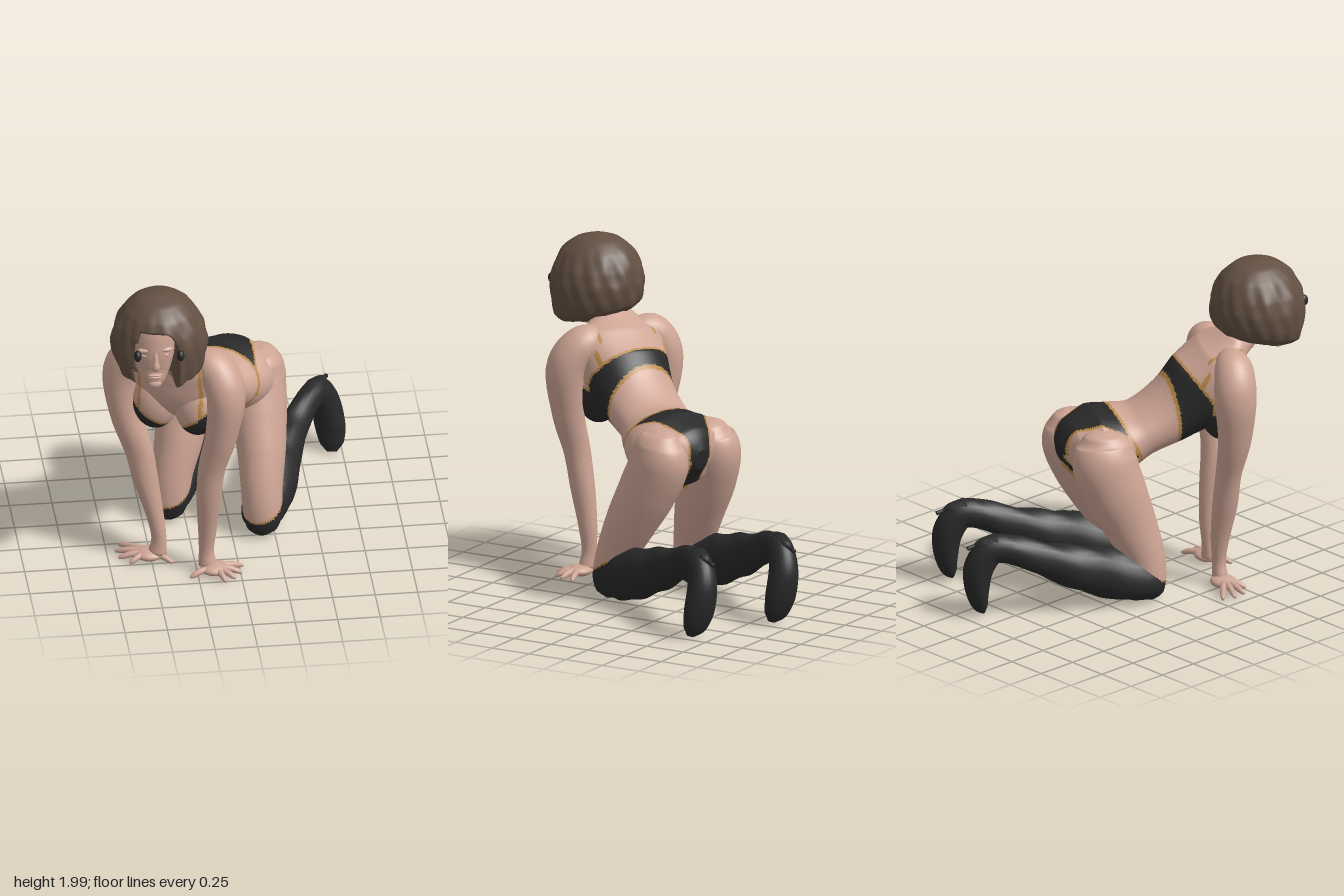
import * as THREE from 'three';

const V = (x, y, z) => new THREE.Vector3(x, y, z);
const SIDE = V(0.906, 0, 0.423);   // the body's sideways direction
const FWD = V(-0.423, 0, 0.906);   // the body's forward direction
const ORIGIN = V(0, 0, -0.1);

const mat = (name, color) => {
  const m = new THREE.MeshStandardMaterial({ color });
  m.name = name;
  return m;
};

// Smooth skin through oval sections [x, y, z, halfWidth, halfDepth]
function loft(sections, rings, sides, side = SIDE) {
  const path = new THREE.CatmullRomCurve3(sections.map(s => V(s[0], s[1], s[2])));
  const size = new THREE.CatmullRomCurve3(sections.map(s => V(s[3], s[4], 0)));
  const pos = [], idx = [];
  for (let i = -1; i <= rings + 1; i++) {
    const t = Math.min(1, Math.max(0, i / rings));
    const k = i < 0 || i > rings ? 0 : 1; // closed ends
    const c = path.getPoint(t), tan = path.getTangent(t), r = size.getPoint(t);
    const u = side.clone().addScaledVector(tan, -side.dot(tan)).normalize();
    const v = tan.clone().cross(u);
    for (let j = 0; j < sides; j++) {
      const a = j / sides * Math.PI * 2;
      const p = c.clone().addScaledVector(u, Math.cos(a) * r.x * k).addScaledVector(v, Math.sin(a) * r.y * k);
      pos.push(p.x, p.y, p.z);
    }
  }
  for (let i = 0; i < rings + 2; i++) for (let j = 0; j < sides; j++) {
    const a = i * sides + j, b = i * sides + (j + 1) % sides;
    idx.push(a, b, a + sides, b, b + sides, a + sides);
  }
  const g = new THREE.BufferGeometry();
  g.setAttribute('position', new THREE.Float32BufferAttribute(pos, 3));
  g.setIndex(idx);
  g.computeVertexNormals();
  return g;
}

// Sorts faces into material groups by a rule on their centres
function paint(g, rule) {
  const p = g.attributes.position, index = g.index.array, sets = [[], [], []];
  const a = V(), b = V();
  for (let i = 0; i < index.length; i += 3) {
    a.set(0, 0, 0);
    for (let k = 0; k < 3; k++) a.add(b.fromBufferAttribute(p, index[i + k]));
    sets[rule(a.divideScalar(3))].push(index[i], index[i + 1], index[i + 2]);
  }
  g.setIndex(sets.flat());
  let start = 0;
  sets.forEach((s, m) => { if (s.length) g.addGroup(start, s.length, m); start += s.length; });
  return g;
}

// Clothing rules: 0 skin, 1 black cloth, 2 trim
function briefs(p) {
  const q = p.clone().sub(ORIGIN), f = q.dot(FWD), l = Math.abs(q.dot(SIDE) + 0.01);
  const waist = f + 0.45 * (p.y - 1.14) - 0.08;
  if (p.y < 0.66 || waist > 0.01) return 0;
  if (waist > -0.01) return 2;
  const w = p.y > 0.9 ? 0.07 + Math.max(0, f + 0.23) * 0.47 : 0.06 + 0.35 * Math.max(0, f);
  return l < w ? 1 : l < w + 0.012 ? 2 : 0;
}
function topWear(p) {
  const q = p.clone().sub(ORIGIN), f = q.dot(FWD);
  if (f < 0.33) return briefs(p);
  const l = Math.abs(q.dot(SIDE) + 0.07);
  const low = 0.39 + 0.1 * (1.4 - p.y) - f;
  const high = Math.min(f - Math.min(0.62, 0.48 + 0.7 * (1.4 - p.y)), p.y - 0.95 - 0.8 * l);
  const edge = Math.max(low, high);
  if (p.y < 1.56 && Math.abs(edge) < 0.01) return 2;
  if (p.y < 1.56 && edge < 0) return 1;
  const strap = f < 0.6 && p.y > 1.3 ? 0.235 : 0.19;
  return f > 0.44 && p.y > 1.1 && Math.abs(l - strap) < 0.01 ? 2 : 0;
}

export function createModel() {
  const root = new THREE.Group();
  const skin = mat('skin', 0xcea595), black = mat('black cloth', 0x292929);
  const trim = mat('gold trim', 0xba8a4a), hairColor = mat('brown hair', 0x635042);
  const painted = [skin, black, trim];
  const add = (name, g, m, parent = root) => {
    const mesh = new THREE.Mesh(g, m);
    mesh.name = name;
    parent.add(mesh);
  };
  const ball = (x, y, z, a, b, c, n = 16) =>
    new THREE.SphereGeometry(1, n, n).scale(a, b, c).translate(x, y, z);

  // Torso and neck
  add('torso', paint(loft([
    [0.08, 0.90, -0.325, 0.05, 0.06], [0.06, 0.915, -0.25, 0.2, 0.165], [0, 0.92, -0.1, 0.305, 0.222],
    [-0.07, 0.955, 0.02, 0.27, 0.19], [-0.14, 1.005, 0.13, 0.23, 0.155], [-0.23, 1.1, 0.29, 0.235, 0.185],
    [-0.32, 1.24, 0.44, 0.27, 0.225], [-0.385, 1.4, 0.53, 0.285, 0.16], [-0.43, 1.49, 0.59, 0.17, 0.1],
    [-0.47, 1.55, 0.66, 0.085, 0.085], [-0.5, 1.68, 0.72, 0.08, 0.08]], 140, 140), topWear), painted);
  for (const [x, z] of [[-0.475, 0.46], [-0.24, 0.57]])
    add('bust', paint(ball(x, 1.125, z, 0.14, 0.195, 0.135, 56), topWear), painted);

  // Thighs, rounded at the seat and tucked into the boot tops at the knee
  const thigh = [
    [0.19, 1.075, -0.11, 0.04, 0.05], [0.19, 1.05, -0.11, 0.1, 0.115], [0.19, 0.99, -0.105, 0.143, 0.165],
    [0.19, 0.88, -0.1, 0.163, 0.193], [0.19, 0.7, -0.02, 0.16, 0.185], [0.19, 0.5, 0.09, 0.142, 0.16],
    [0.18, 0.3, 0.19, 0.122, 0.125], [0.18, 0.14, 0.23, 0.115, 0.108], [0.175, 0.06, 0.235, 0.09, 0.085],
    [0.175, 0.02, 0.235, 0.04, 0.04]];
  // Boots, from the knee along the shin and down to the toe
  const boot = [
    [0.145, 0.1, 0.3, 0.05, 0.045], [0.16, 0.112, 0.27, 0.1, 0.085], [0.19, 0.145, 0.18, 0.128, 0.13],
    [0.27, 0.2, 0.03, 0.13, 0.15], [0.35, 0.28, -0.19, 0.11, 0.13], [0.44, 0.36, -0.38, 0.085, 0.1],
    [0.53, 0.425, -0.52, 0.075, 0.085], [0.605, 0.43, -0.62, 0.075, 0.09], [0.655, 0.33, -0.672, 0.085, 0.09],
    [0.682, 0.18, -0.668, 0.095, 0.072], [0.69, 0.07, -0.64, 0.075, 0.048], [0.69, 0.02, -0.615, 0.03, 0.015]];
  for (const right of [0, 1]) {
    const dx = -0.52 * right, dz = -0.24 * right;
    const cut = p => {
      const e = p.y - 0.145 - 0.5 * (0.33 + dz - p.z) - 0.35 * (p.x - dx - 0.2);
      return e < 0 ? 1 : e < 0.012 ? 2 : briefs(p);
    };
    const secs = thigh.map(([x, y, z, a, b]) => {
      const k = right * Math.min(1, Math.max(0, (1 - y) / 0.8));
      return [x - 0.365 * right - 0.155 * k, y, z - 0.1 * right - 0.14 * k, a, b];
    });
    add('thigh', paint(loft(secs, 90, 72), cut), painted);
    const g = new THREE.Group();
    g.name = right ? 'rightBoot' : 'leftBoot';
    g.position.set(dx, 0, dz);
    root.add(g);
    const shaft = loft(boot, 72, 24, V(0.87, 0, 0.5)), p = shaft.attributes.position;
    for (let i = 0; i < p.count; i++) { // soft leather folds
      const z = p.getZ(i), y = p.getY(i);
      if (z < 0.15 && z > -0.55) p.setY(i, y + 0.006 * Math.sin(z * 38 + p.getX(i) * 25));
    }
    shaft.computeVertexNormals();
    add('boot', shaft, black, g);
    add('heel', loft([[0.59, 0.485, -0.6, 0.06, 0.045], [0.635, 0.475, -0.68, 0.035, 0.03],
      [0.655, 0.465, -0.72, 0.012, 0.012], [0.67, 0.455, -0.755, 0.013, 0.013]], 16, 14), black, g);
  }

  // Arms and hands
  const arms = [
    { name: 'leftArm', path: [[-0.26, 1.43, 0.58, 0.08, 0.08], [-0.16, 1.41, 0.63, 0.11, 0.115],
      [-0.095, 1.29, 0.7, 0.115, 0.125], [-0.115, 1, 0.705, 0.095, 0.1], [-0.17, 0.75, 0.675, 0.08, 0.075],
      [-0.185, 0.55, 0.65, 0.073, 0.075], [-0.19, 0.3, 0.615, 0.055, 0.055],
      [-0.195, 0.15, 0.61, 0.045, 0.04], [-0.19, 0.06, 0.62, 0.055, 0.045]],
      palm: [-0.15, 0.645],
      tips: [[0.02, 0.6], [0.005, 0.68], [-0.04, 0.74], [-0.1, 0.77], [-0.3, 0.7]] },
    { name: 'rightArm', path: [[-0.5, 1.43, 0.48, 0.08, 0.08], [-0.6, 1.41, 0.43, 0.11, 0.115],
      [-0.66, 1.29, 0.39, 0.115, 0.125], [-0.645, 1, 0.4, 0.092, 0.1], [-0.57, 0.75, 0.42, 0.085, 0.075],
      [-0.53, 0.55, 0.43, 0.073, 0.075], [-0.475, 0.3, 0.44, 0.05, 0.055],
      [-0.455, 0.15, 0.45, 0.045, 0.04], [-0.465, 0.06, 0.45, 0.055, 0.045]],
      palm: [-0.51, 0.435],
      tips: [[-0.67, 0.28], [-0.7, 0.35], [-0.69, 0.43], [-0.63, 0.5], [-0.38, 0.52]] }];
  for (const { name, path, palm: [px, pz], tips } of arms) {
    const g = new THREE.Group();
    g.name = name;
    root.add(g);
    add('arm', loft(path, 48, 28), skin, g);
    add('palm', ball(px, 0.045, pz, 0.085, 0.035, 0.075), skin, g);
    for (const [x, z] of tips) {
      const at = (k, y, r) => [px + (x - px) * k, y, pz + (z - pz) * k, r, r];
      add('finger', loft([at(0.2, 0.05, 0.022), at(0.6, 0.045, 0.019), at(0.85, 0.032, 0.016), at(1, 0.022, 0.008)],
        12, 10, V(0, 1, 0)), skin, g);
    }
  }

  // Head and face
  const head = new THREE.Group();
  head.name = 'head';
  root.add(head);
  const X = V(1, 0, 0), fx = -0.53;
  add('face', loft([[fx, 1.44, 0.86, 0.03, 0.03], [fx, 1.48, 0.845, 0.065, 0.065], [fx, 1.55, 0.81, 0.1, 0.105],
    [fx, 1.63, 0.79, 0.122, 0.132], [fx, 1.72, 0.785, 0.13, 0.14], [fx, 1.8, 0.775, 0.13, 0.145],
    [fx, 1.88, 0.75, 0.09, 0.09]], 40, 40, X), skin, head);
  add('nose', loft([[fx, 1.71, 0.91, 0.012, 0.012], [fx, 1.65, 0.922, 0.017, 0.022],
    [fx, 1.61, 0.927, 0.025, 0.028], [fx, 1.59, 0.912, 0.018, 0.015]], 16, 16, X), skin, head);
  add('upperLip', ball(fx, 1.543, 0.903, 0.042, 0.01, 0.016), skin, head);
  add('lowerLip', ball(fx, 1.523, 0.896, 0.036, 0.012, 0.016), skin, head);
  add('chin', ball(fx, 1.475, 0.885, 0.04, 0.03, 0.025), skin, head);
  for (const s of [-1, 1]) {
    add('eyelid', ball(fx + s * 0.055, 1.675, 0.895, 0.028, 0.013, 0.016), skin, head);
    add('brow', ball(fx + s * 0.055, 1.712, 0.896, 0.05, 0.016, 0.022), skin, head);
    add('hairClip', ball(-0.515 + s * 0.125, 1.71, 0.965 + s * 0.01, 0.022, 0.035, 0.03), black, head);
  }

  // Wavy bob, pushed in at the front to frame the face
  const hx = -0.485, hz = 0.725;
  const hair = loft([[1.49, 0.14, 0.14], [1.505, 0.2, 0.2], [1.545, 0.25, 0.25], [1.61, 0.272, 0.265],
    [1.7, 0.28, 0.272], [1.8, 0.258, 0.26], [1.9, 0.2, 0.215], [1.965, 0.125, 0.13], [1.995, 0.03, 0.03]]
    .map(([y, a, b]) => [hx, y, hz, a, b]), 70, 110, X);
  const hp = hair.attributes.position;
  for (let i = 0; i < hp.count; i++) {
    let x = hp.getX(i) - hx, y = hp.getY(i), z = hp.getZ(i) - hz;
    const a = Math.atan2(z, x), fade = Math.min(1, Math.max(0, (1.97 - y) / 0.15));
    const k = 1 + fade * (0.022 * Math.sin(9 * a + 14 * y) + 0.014 * Math.sin(17 * a - 20 * y));
    x *= k; z *= k;
    y -= z * 0.22 * Math.min(1, Math.max(0, (1.75 - y) / 0.2));
    const half = 0.118 - Math.max(0, y - 1.76) * 0.5;
    if (z > 0.02 && Math.abs(x + hx - fx) < half && y < 1.845) z = 0.02;
    hp.setXYZ(i, x + hx, y, z + hz);
  }
  hair.computeVertexNormals();
  add('hair', hair, hairColor, head);
  return root;
}
